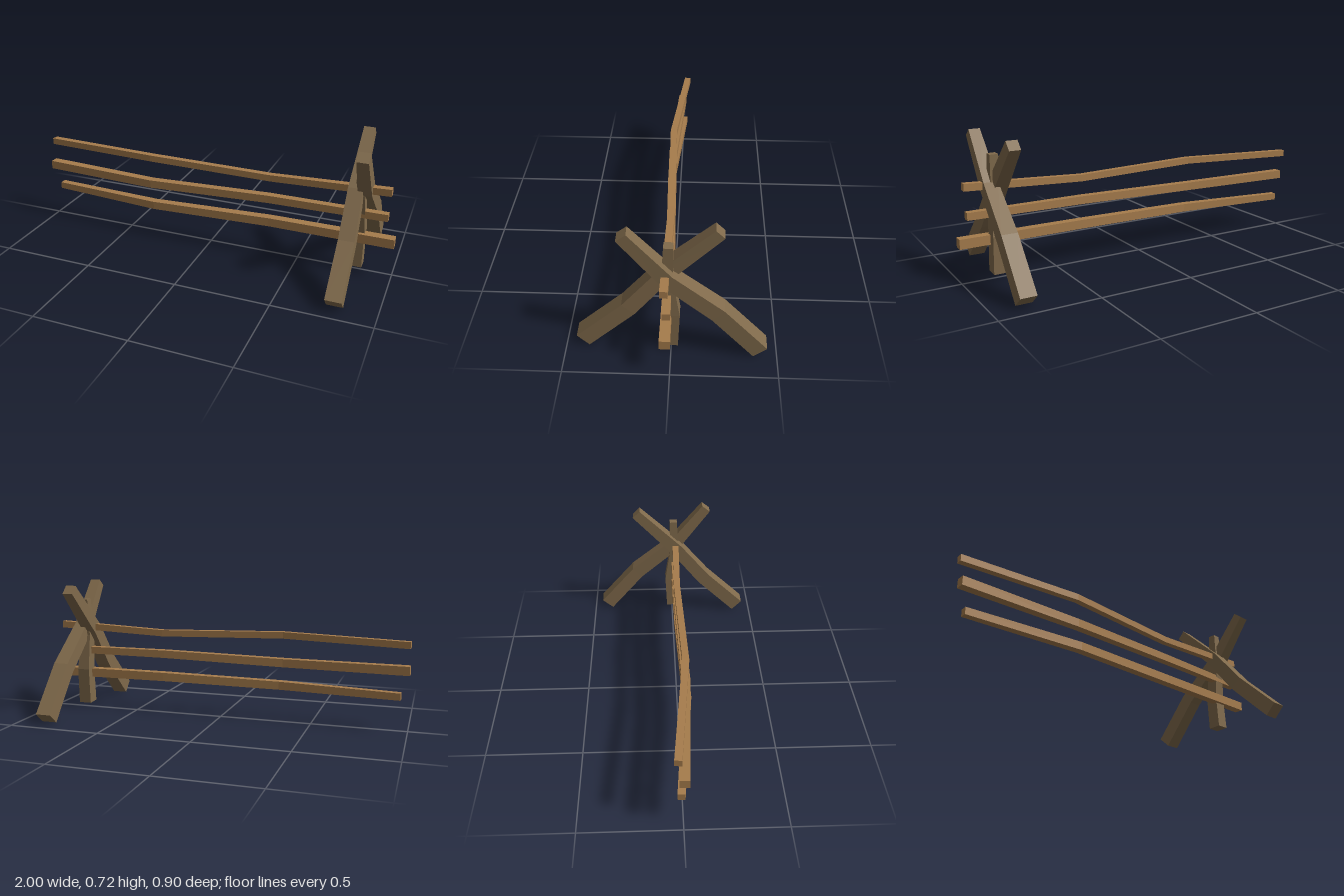
import * as THREE from 'three';

// Square timber swept along a bent path of [x, y, z, size] stations.
// side is the axis that two of its faces stay square to.
function timber(stations, side) {
  const pts = stations.map(([x, y, z]) => new THREE.Vector3(x, y, z));
  const last = pts.length - 1;
  const pos = [], index = [];
  stations.forEach(([, , , size], i) => {
    const into = pts[Math.max(i, 1)].clone().sub(pts[Math.max(i, 1) - 1]).normalize();
    const out = pts[Math.min(i + 1, last)].clone().sub(pts[Math.min(i, last - 1)]).normalize();
    const dir = into.add(out).normalize();
    const u = side.clone().addScaledVector(dir, -side.dot(dir)).normalize();
    const v = dir.clone().cross(u);
    for (const [a, b] of [[1, 1], [-1, 1], [-1, -1], [1, -1]]) {
      const p = pts[i].clone().addScaledVector(u, a * size / 2).addScaledVector(v, b * size / 2);
      pos.push(p.x, p.y, p.z);
    }
  });
  for (let i = 0; i < last; i++) {
    for (let k = 0; k < 4; k++) {
      const a = i * 4 + k, b = i * 4 + (k + 1) % 4;
      index.push(a, b, b + 4, a, b + 4, a + 4);
    }
  }
  const e = last * 4;
  index.push(0, 2, 1, 0, 3, 2, e, e + 1, e + 2, e, e + 2, e + 3);
  const indexed = new THREE.BufferGeometry();
  indexed.setAttribute('position', new THREE.Float32BufferAttribute(pos, 3));
  indexed.setIndex(index);
  const geometry = indexed.toNonIndexed();
  geometry.computeVertexNormals();
  return geometry;
}

export function createModel() {
  const group = new THREE.Group();
  const darkWood = new THREE.MeshStandardMaterial({ color: 0x806a4b });
  darkWood.name = 'dark weathered wood';
  const railWood = new THREE.MeshStandardMaterial({ color: 0xa67c4c });
  railWood.name = 'warm rail wood';
  const X = new THREE.Vector3(1, 0, 0), Z = new THREE.Vector3(0, 0, 1);

  const add = (name, stations, side, material) => {
    const mesh = new THREE.Mesh(timber(stations, side), material);
    mesh.name = name;
    group.add(mesh);
  };

  // Crossed legs, foot to tip
  add('frontLeg', [
    [0.792, 0.031, 0.42, 0.083], [0.792, 0.245, 0.198, 0.081],
    [0.787, 0.455, 0.03, 0.075], [0.79, 0.697, -0.214, 0.058],
  ], X, darkWood);
  add('backLeg', [
    [0.838, 0.031, -0.42, 0.083], [0.838, 0.267, -0.218, 0.081],
    [0.833, 0.465, 0.017, 0.073], [0.837, 0.705, 0.208, 0.058],
  ], X, darkWood);

  // Upright between the legs
  add('post', [
    [0.812, 0.03, 0.002, 0.07], [0.812, 0.225, -0.008, 0.068],
    [0.808, 0.42, 0.016, 0.056], [0.812, 0.625, 0.01, 0.043],
  ], X, darkWood);

  // Three wavy rails
  add('topRail', [
    [-1, 0.453, -0.027, 0.035], [-0.34, 0.466, 0.035, 0.035],
    [0.34, 0.45, 0.016, 0.035], [0.962, 0.475, 0.025, 0.037],
  ], Z, railWood);
  add('middleRail', [
    [-1, 0.318, 0.003, 0.047], [-0.34, 0.316, 0.039, 0.044],
    [0.33, 0.332, 0.02, 0.042], [0.956, 0.333, 0.016, 0.038],
  ], Z, railWood);
  add('bottomRail', [
    [-0.96, 0.185, -0.01, 0.037], [-0.32, 0.191, 0.045, 0.044],
    [0.34, 0.202, 0.023, 0.047], [1, 0.201, 0.022, 0.05],
  ], Z, railWood);

  return group;
}
